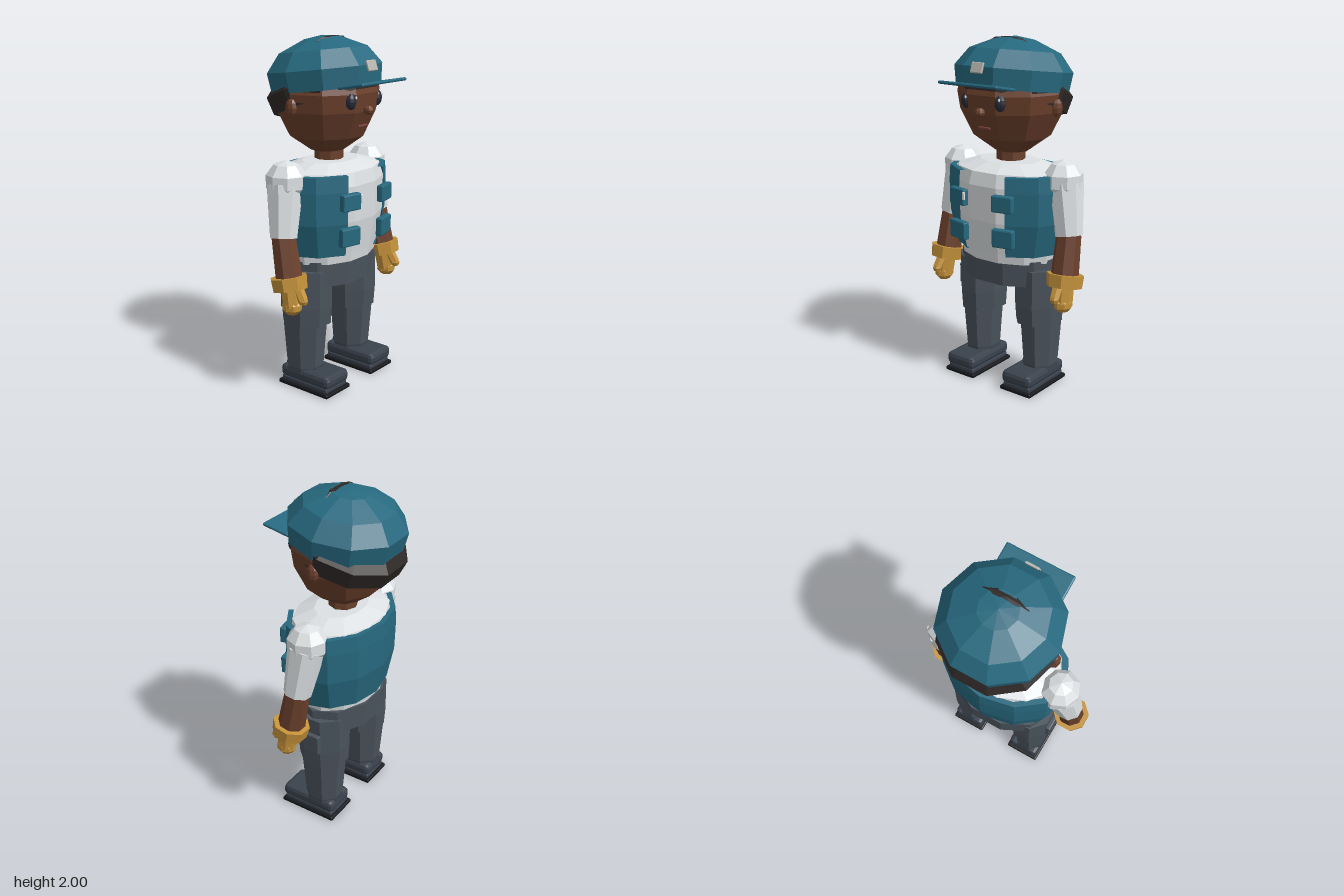
import * as THREE from 'three';
import { RoundedBoxGeometry } from 'three/addons/geometries/RoundedBoxGeometry.js';

const mat = (color) => new THREE.MeshStandardMaterial({ color, flatShading: true, side: THREE.DoubleSide });

export function createModel() {
  const root = new THREE.Group();
  const teal = mat(0x27697f), skin = mat(0x6b402c), white = mat(0xdde1e3), trousers = mat(0x4a535c);
  const shoe = mat(0x3a424d), sole = mat(0x17181c), gold = mat(0xc4923a), dark = mat(0x2e2826);
  const eye = mat(0x2a2b38), lip = mat(0x7c4240), metal = mat(0xb8b6ae);

  const add = (name, geo, material, [x, y, z] = [0, 0, 0], [rx, ry, rz] = [0, 0, 0]) => {
    const m = new THREE.Mesh(geo, material);
    m.name = name;
    m.position.set(x, y, z);
    m.rotation.set(rx, ry, rz);
    root.add(m);
    return m;
  };
  // Faceted turned form from [radius, height] pairs, with a flat side to the front
  const turned = (profile, sides, sx = 1, sz = 1) =>
    new THREE.LatheGeometry(profile.map(([r, y]) => new THREE.Vector2(r, y)), sides, Math.PI / sides).scale(sx, 1, sz);
  const ball = (rx, ry, rz, w = 8, h = 6) => new THREE.SphereGeometry(1, w, h).scale(rx, ry, rz);
  const box = (w, h, d, r = 0.008) => new RoundedBoxGeometry(w, h, d, 1, r);
  // Tapered cylinder running between two points
  const limb = (name, a, b, ra, rb, material, sides = 8) => {
    const A = new THREE.Vector3(...a), B = new THREE.Vector3(...b);
    const dir = A.clone().sub(B);
    const geo = new THREE.CylinderGeometry(ra, rb, dir.length(), sides).rotateY(Math.PI / sides);
    const m = add(name, geo, material, A.clone().add(B).multiplyScalar(0.5).toArray());
    m.quaternion.setFromUnitVectors(new THREE.Vector3(0, 1, 0), dir.normalize());
    return m;
  };

  // Head and face
  add('head', turned([[0, 1.365], [0.1, 1.365], [0.225, 1.45], [0.3, 1.6], [0.315, 1.7],
    [0.28, 1.82], [0.15, 1.92], [0, 1.93]], 10, 1, 0.93), skin, [0, 0, -0.03]);
  add('neck', new THREE.CylinderGeometry(0.083, 0.083, 0.14, 8), skin, [0, 1.33, -0.02]);
  add('nose', ball(0.028, 0.026, 0.03), skin, [0, 1.61, 0.255]);
  add('mouth', box(0.08, 0.016, 0.012, 0.005), lip, [0, 1.52, 0.218], [0.35, 0, 0]);
  for (const s of [-1, 1]) {
    add('eye', ball(0.032, 0.045, 0.03, 10, 8), eye, [s * 0.115, 1.665, 0.225]);
    add('eyeHighlight', ball(0.007, 0.009, 0.005), white, [s * 0.115 + 0.012, 1.685, 0.251]);
    add('ear', ball(0.028, 0.052, 0.036), skin, [s * 0.305, 1.63, -0.03]);
  }

  // Hair and cap
  add('hair', turned([[0.29, 0], [0.31, 0], [0.325, 0.1], [0.2, 0.22], [0, 0.26]], 10), dark,
    [0, 1.63, -0.035], [-0.34, 0, 0]);
  add('capCrown', turned([[0.316, -0.11], [0.332, 0], [0.255, 0.1], [0.105, 0.165], [0, 0.18]], 10), teal,
    [0, 1.818, -0.045], [-0.12, 0, 0]);
  add('hairTuft', ball(0.13, 0.027, 0.042, 6, 4), dark, [0, 1.972, 0.005]);
  add('capBrim', box(0.4, 0.018, 0.17), teal, [0, 1.755, 0.282], [-0.18, 0, 0]);
  add('capBadge', box(0.08, 0.06, 0.014, 0.005), metal, [0, 1.85, 0.274], [-0.35, 0, 0]);

  // Shirt and open vest
  add('shirt', turned([[0, 0.76], [0.305, 0.76], [0.315, 0.81], [0.358, 1.0], [0.362, 1.2],
    [0.335, 1.275], [0.19, 1.315], [0, 1.315]], 12, 1, 0.72), white, [0, 0, -0.01]);
  const gap = 0.43;
  const vestProfile = [[0.315, 0.81], [0.33, 0.81], [0.379, 1.0], [0.385, 1.18], [0.378, 1.27], [0.34, 1.27]]
    .map(([r, y]) => new THREE.Vector2(r, y));
  add('vest', new THREE.LatheGeometry(vestProfile, 10, gap, 2 * Math.PI - 2 * gap).scale(1, 1, 0.73), teal, [0, 0, -0.008]);
  for (const s of [-1, 1]) {
    add('vestUpperPocket', box(0.125, 0.095, 0.04), teal, [s * 0.155, 1.127, 0.258], [0, s * 0.2, 0]);
    add('vestLowerPocket', box(0.13, 0.105, 0.04), teal, [s * 0.157, 0.932, 0.254], [0.03, s * 0.2, 0]);
  }
  add('pen', box(0.014, 0.045, 0.012, 0.003), white, [-0.095, 1.14, 0.288]);

  // Hips
  add('hips', turned([[0, 0.625], [0.315, 0.625], [0.322, 0.775], [0, 0.775]], 10, 1, 0.69), trousers, [0, 0, -0.022]);

  for (const s of [-1, 1]) {
    // Arm
    add('shoulder', ball(0.115, 0.112, 0.118, 8, 5), white, [s * 0.358, 1.242, -0.025]);
    limb('sleeve', [s * 0.368, 1.22, -0.027], [s * 0.42, 0.94, 0.005], 0.105, 0.078, white);
    limb('forearm', [s * 0.419, 0.945, 0.004], [s * 0.427, 0.68, 0.055], 0.07, 0.08, skin);
    limb('gloveCuff', [s * 0.428, 0.73, 0.045], [s * 0.431, 0.66, 0.06], 0.106, 0.1, gold);
    // Hand
    limb('palm', [s * 0.43, 0.68, 0.06], [s * 0.437, 0.565, 0.078], 0.058, 0.054, gold);
    add('fingers', ball(0.054, 0.05, 0.06, 8, 5), gold, [s * 0.438, 0.567, 0.078]);
    limb('thumb', [s * 0.425, 0.67, 0.115], [s * 0.43, 0.615, 0.15], 0.03, 0.028, gold, 6);
    add('thumbTip', ball(0.028, 0.028, 0.028, 6, 4), gold, [s * 0.43, 0.613, 0.151]);

    // Leg
    const x = s * 0.205;
    add('thigh', turned([[0, 0.39], [0.133, 0.39], [0.14, 0.5], [0.14, 0.72], [0, 0.72]], 8, 1, 1.12), trousers, [x, 0, -0.02]);
    add('shin', turned([[0, 0.1], [0.097, 0.1], [0.1, 0.14], [0.12, 0.42], [0, 0.42]], 8, 1, 1.16), trousers, [s * 0.215, 0, -0.025]);
    add('thighPocket', box(0.035, 0.125, 0.11), trousers, [s * 0.341, 0.565, -0.028]);

    // Shoe
    const f = s * 0.208;
    add('shoeSole', box(0.215, 0.024, 0.365), sole, [f, 0.012, 0.037]);
    add('shoeMidsole', box(0.185, 0.03, 0.335), shoe, [f, 0.035, 0.037]);
    add('shoeBody', box(0.2, 0.075, 0.355, 0.025), shoe, [f, 0.083, 0.04]);
    add('shoeCollar', turned([[0, 0.1], [0.104, 0.1], [0.1, 0.135], [0, 0.135]], 8, 1, 1.16), shoe, [s * 0.213, 0, -0.025]);
  }
  return root;
}
